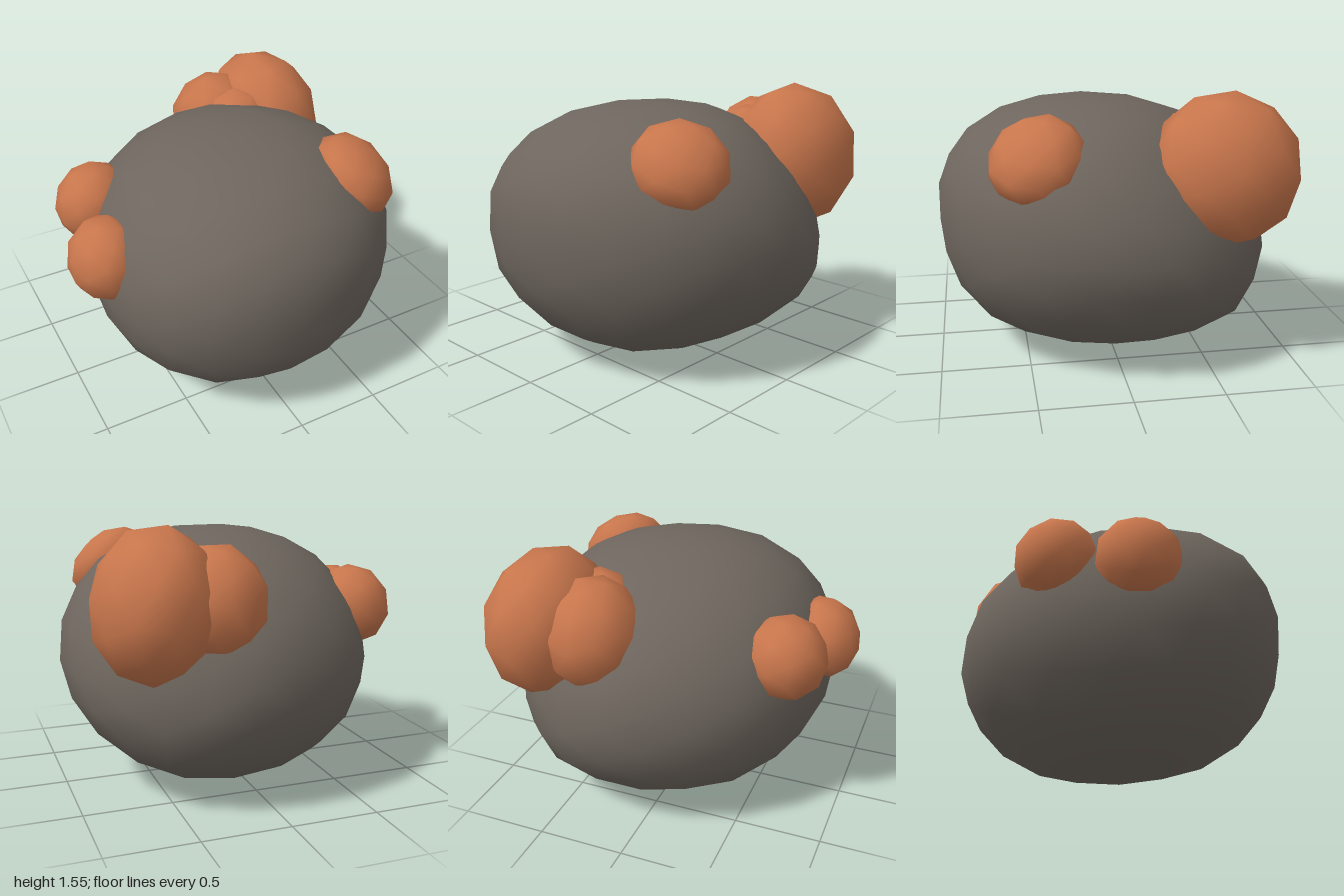
import * as THREE from 'three';
import { mergeVertices } from 'three/addons/utils/BufferGeometryUtils.js';

// Low-poly ball with shared vertices, reshaped by a rule and shaded smooth
function ball(detail, reshape) {
  const raw = new THREE.IcosahedronGeometry(1, detail);
  raw.deleteAttribute('uv');
  raw.deleteAttribute('normal');
  const geometry = mergeVertices(raw, 1e-4);
  const pos = geometry.attributes.position;
  const v = new THREE.Vector3();
  for (let i = 0; i < pos.count; i++) {
    reshape(v.fromBufferAttribute(pos, i));
    pos.setXYZ(i, v.x, v.y, v.z);
  }
  geometry.computeVertexNormals();
  return geometry;
}

// Push a point on the unit sphere out to a slightly boxy one
function squarer(v, power) {
  const sum = Math.abs(v.x) ** power + Math.abs(v.y) ** power + Math.abs(v.z) ** power;
  return v.multiplyScalar(sum ** (-1 / power));
}

// Flattened sides of the boulder: direction, where it starts, strength
const flats = [
  [new THREE.Vector3(0.64, 0.3, -0.7).normalize(), 0.65, 0.3],
  [new THREE.Vector3(0.7, -0.7, 0).normalize(), 0.75, 0.2],
];

export function createModel() {
  const model = new THREE.Group();
  model.name = 'boulderWithGrowths';
  const stone = new THREE.MeshStandardMaterial({ color: 0x6e665e });
  stone.name = 'greyStone';
  const rust = new THREE.MeshStandardMaterial({ color: 0xc8764c });
  rust.name = 'rustOrange';

  // Boulder: squat boxy ball, skewed in plan, its upper half leaning forward
  const boulder = new THREE.Mesh(ball(3, (v) => {
    squarer(v, 2.2);
    for (const [direction, start, strength] of flats) {
      v.addScaledVector(direction, -strength * Math.max(0, v.dot(direction) - start));
    }
    const { x, y, z } = v;
    v.set(
      0.08 + 0.925 * x - 0.1 * z,
      0.735 + 0.735 * y,
      0.02 + 0.96 * z + 0.095 * Math.max(0, y)
    );
  }), stone);
  boulder.name = 'boulder';
  model.add(boulder);

  // Growths: name, centre, outward direction, radii (across, across, outward)
  const growths = [
    ['largeBackGrowth', [0.6, 1.13, -0.565], [1, 0.15, 0], [0.425, 0.425, 0.34]],
    ['middleBackGrowth', [0.295, 1.15, -0.645], [0, 0.5, -0.8], [0.28, 0.31, 0.28]],
    ['smallBackGrowth', [0.36, 1.21, -0.46], [0.2, 0.8, -0.5], [0.23, 0.23, 0.2]],
    ['frontGrowth', [0.6, 1.22, 0.45], [0.55, 0.75, 0.4], [0.27, 0.27, 0.19]],
    ['sideGrowthRear', [-0.69, 1.01, -0.29], [-0.75, 0.4, -0.45], [0.24, 0.24, 0.22]],
    ['sideGrowthFront', [-0.8, 0.945, 0.165], [-0.95, 0.25, 0.1], [0.24, 0.24, 0.205]],
  ];
  const forward = new THREE.Vector3(0, 0, 1);
  for (const [name, centre, outward, radii] of growths) {
    const size = new THREE.Vector3(...radii);
    const growth = new THREE.Mesh(ball(1, (v) => v.multiply(size)), rust);
    growth.name = name;
    growth.position.set(...centre);
    growth.quaternion.setFromUnitVectors(forward, new THREE.Vector3(...outward).normalize());
    model.add(growth);
  }
  return model;
}
